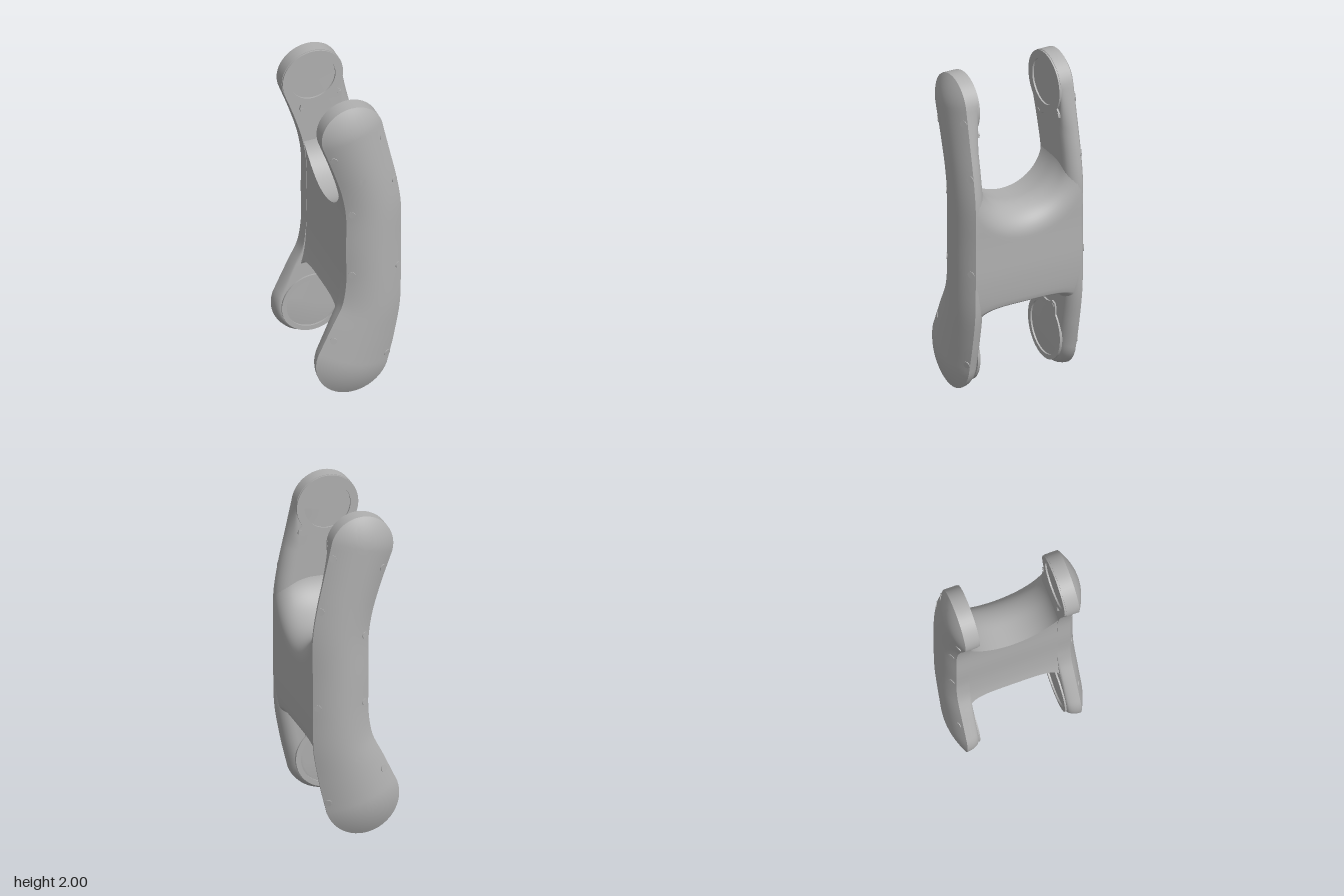
import * as THREE from 'three';
import { mergeGeometries, toCreasedNormals } from 'three/addons/utils/BufferGeometryUtils.js';

// Centre line of a side plate: x, y and half width (stored in z)
const spine = new THREE.CatmullRomCurve3([
  [-0.04, 0.226, 0.226], [0.02, 0.4, 0.207], [0.072, 0.57, 0.183], [0.09, 0.75, 0.17], [0.09, 1.0, 0.17],
  [0.09, 1.25, 0.17], [0.065, 1.42, 0.17], [0.02, 1.6, 0.176], [-0.04, 1.81, 0.19],
].map(p => new THREE.Vector3(...p)));
const spinePts = spine.getPoints(60);

function spineX(y) {
  const i = spinePts.findIndex(p => p.y >= y);
  if (i <= 0) return spinePts[i < 0 ? 60 : 0].x;
  const a = spinePts[i - 1], b = spinePts[i];
  return a.x + (b.x - a.x) * (y - a.y) / (b.y - a.y);
}

// Surface from a grid of points; it faces (row direction) x (column direction)
function grid(rows, cols, fn) {
  const pos = [], idx = [];
  for (let i = 0; i <= rows; i++) for (let j = 0; j <= cols; j++) pos.push(...fn(i, j));
  for (let i = 0; i < rows; i++) for (let j = 0; j < cols; j++) {
    const a = i * (cols + 1) + j, b = a + cols + 1;
    idx.push(a, b, b + 1, a, b + 1, a + 1);
  }
  const g = new THREE.BufferGeometry();
  g.setAttribute('position', new THREE.Float32BufferAttribute(pos, 3));
  g.setIndex(idx);
  return g;
}

// Copy reflected in z, with the corner order turned round again
function mirrorZ(geo) {
  const g = geo.index ? geo.toNonIndexed() : geo.clone();
  for (const at of [g.attributes.position, g.attributes.normal]) {
    for (let i = 0; i < at.count; i++) at.setZ(i, -at.getZ(i));
    for (let i = 0; i < at.count; i += 3) {
      const v = [at.getX(i + 1), at.getY(i + 1), at.getZ(i + 1)];
      at.setXYZ(i + 1, at.getX(i + 2), at.getY(i + 2), at.getZ(i + 2));
      at.setXYZ(i + 2, ...v);
    }
  }
  return g;
}

// Plate outline, counter-clockwise: p edge, s centre line, r half width, w inner rounding
function outline() {
  const out = [], n = 60, caps = 24;
  const frame = i => {
    const t = spine.getTangent(spine.points.length ? i / n : 0);
    const l = Math.hypot(t.x, t.y);
    return [spinePts[i], Math.atan2(-t.x / l, t.y / l)];
  };
  const add = (s, a, w) => out.push({ s, r: s.z, w, p: [s.x + s.z * Math.cos(a), s.y + s.z * Math.sin(a)] });
  for (let i = 0; i <= n; i++) {
    const [s, a] = frame(i);
    add(s, a, THREE.MathUtils.clamp((n - i) / 10, 0, 1));
  }
  const [top, ta] = frame(n), [bottom, ba] = frame(0);
  for (let i = 1; i < caps; i++) add(top, ta + Math.PI * i / caps, 0);
  for (let i = n; i >= 0; i--) {
    const [s, a] = frame(i);
    add(s, a + Math.PI, 0.4 * THREE.MathUtils.clamp(1 - i / 20, 0, 1));
  }
  for (let i = 1; i <= caps; i++) add(bottom, ba + Math.PI * (1 + i / caps), 0.4 + 0.6 * i / caps);
  return out;
}

// Domed outer face, straight rim, rounded inner edge and flat inner face
function plateGeometry() {
  const o = outline(), rings = [];
  for (let i = 0; i <= 10; i++) {
    const k = 1 - i / 10;
    rings.push([() => k, 0.35 + 0.06 * (1 - (1 - k) ** 2)]);
  }
  for (let i = 1; i <= 6; i++) {
    const f = i / 6 * Math.PI / 2;
    rings.push([q => 0.08 * q.w * (1 - Math.cos(f)) / q.r, 0.35 - 0.08 * Math.sin(f)]);
  }
  rings.push([() => 1, 0.27]);
  const g = grid(rings.length - 1, o.length - 1, (i, j) => {
    const q = o[j], k = rings[i][0](q);
    return [q.p[0] + (q.s.x - q.p[0]) * k, q.p[1] + (q.s.y - q.p[1]) * k, rings[i][1]];
  });
  return toCreasedNormals(g, 0.6);
}

// Bridge between the plates, with a round saddle above and a squarer arch below
function bridgeGeometry() {
  const NX = 20, NZ = 40, NY = 16;
  const round = t => 1 - Math.sqrt(1 - THREE.MathUtils.clamp(t, 0, 1) ** 2);
  const point = (i, j, v) => {
    const x = -0.078 + 0.337 * Math.sin(i / NX * Math.PI / 2);
    const a = (j / NZ - 0.5) * Math.PI, s = Math.sin(a);
    const fine = round((x - 0.18) / 0.079);
    const z = (0.28 + 0.07 * fine) * s;
    const yTop = 1.17 + 0.27 * (1 - Math.cos(a)) - 0.16 * round((x - 0.06) / 0.199);
    const yLow = 0.44 + 0.128 * Math.pow(Math.max(0, 1 - s ** 4), 0.3) + 0.025 * fine;
    const y = yLow + (yTop - yLow) * v;
    return [x + spineX(y) - 0.09, y, z];
  };
  return toCreasedNormals(mergeGeometries([
    grid(NZ, NX, (j, i) => point(i, j, 1)),
    grid(NX, NZ, (i, j) => point(i, j, 0)),
    grid(NY, NZ, (k, j) => point(NX, j, k / NY)),
    grid(NZ, NY, (j, k) => point(0, j, k / NY)),
  ]), 0.6);
}

// Thin ring on the inner face; ears carry small screws
function ringGeometry(r, hole, from, to, ears) {
  const s = new THREE.Shape();
  s.absarc(0, 0, r, from, to, false);
  ears.forEach(e => s.lineTo(...e));
  s.closePath();
  const h = new THREE.Path();
  h.absarc(0, 0, hole, 0, Math.PI * 2, true);
  s.holes.push(h);
  const g = new THREE.ExtrudeGeometry(s, { depth: 0.016, bevelEnabled: false, curveSegments: 48 });
  return toCreasedNormals(g, 0.6);
}

export function createModel() {
  const root = new THREE.Group();
  root.name = 'bracket';
  const grey = new THREE.MeshStandardMaterial({ color: 0xb0b0b0 });
  grey.name = 'grey';
  const addMesh = (name, geo) => {
    const m = new THREE.Mesh(geo, grey);
    m.name = name;
    root.add(m);
  };
  const addPair = (name, geo) => {
    addMesh('front' + name, geo);
    addMesh('back' + name, mirrorZ(geo));
  };

  addMesh('bridge', bridgeGeometry());
  addPair('SidePlate', plateGeometry());

  // Upper rings with two ears, lower rings with one
  const upper = ringGeometry(0.187, 0.14, -0.9, Math.PI + 0.9,
    [[-0.135, -0.175], [-0.13, -0.2], [-0.1, -0.205], [-0.06, -0.19], [0.06, -0.19], [0.1, -0.205], [0.13, -0.2], [0.135, -0.175]]);
  addPair('UpperRing', upper.rotateZ(0.27).translate(-0.04, 1.81, 0.26));
  const lower = ringGeometry(0.192, 0.162, 1.4, Math.PI * 2 + 0.8,
    [[0.135, 0.175], [0.125, 0.205], [0.095, 0.215], [0.07, 0.2]]);
  addPair('LowerRing', lower.translate(-0.04, 0.226, 0.26));
  for (const [x, y] of [[-0.107, 1.6], [0.125, 1.665], [0.065, 0.412]]) {
    addPair('Screw', new THREE.CylinderGeometry(0.013, 0.013, 0.01, 16).rotateX(Math.PI / 2).translate(x, y, 0.262));
  }

  // Small fastener seats lying on the sloping rim of each plate
  const seats = [[-0.16, 1.67], [-0.05, 1.26], [-0.05, 0.835], [-0.165, 0.4],
    [0.14, 1.765], [0.215, 1.44], [0.235, 0.835], [0.17, 0.225]];
  for (const [x, y] of seats) {
    const c = spinePts.reduce((a, b) => Math.hypot(x - a.x, y - a.y) < Math.hypot(x - b.x, y - b.y) ? a : b);
    const d = Math.hypot(x - c.x, y - c.y), f = d / c.z, slope = 0.12 * f / c.z;
    const normal = new THREE.Vector3((x - c.x) / d * slope, (y - c.y) / d * slope, 1).normalize();
    const g = new THREE.CylinderGeometry(0.021, 0.021, 0.008, 20);
    g.applyQuaternion(new THREE.Quaternion().setFromUnitVectors(new THREE.Vector3(0, 1, 0), normal));
    addPair('FastenerSeat', g.translate(x, y, 0.35 + 0.06 * (1 - f * f)));
  }
  return root;
}
